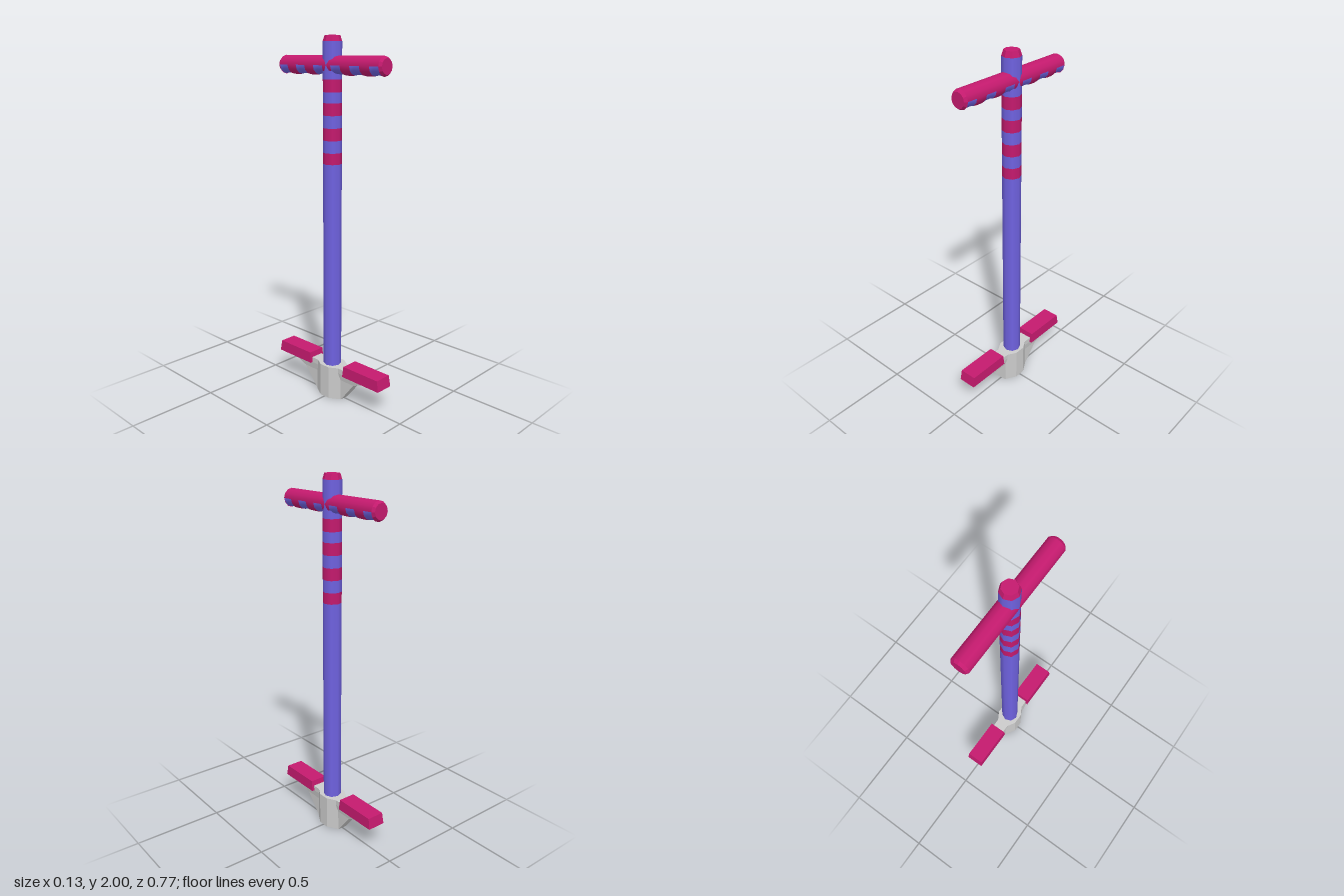
import * as THREE from 'three';

const mat = (color, flat = false) =>
  new THREE.MeshStandardMaterial({ color, flatShading: flat, side: THREE.DoubleSide });
const PINK = 0xc41a6e, BLUE = 0x6f62e0, GREY = 0xcccccc;

function add(parent, name, geo, material) {
  const m = new THREE.Mesh(geo, material);
  m.name = name;
  parent.add(m);
  return m;
}

// Turned piece from [radius, height] pairs
const turned = (pts, sides, start = 0, length = Math.PI * 2) =>
  new THREE.LatheGeometry(pts.map(([r, y]) => new THREE.Vector2(r, y)), sides, start, length);

// Skin over rings of [x, y, z] points, counter-clockwise from above, closed at both ends
function loft(rings) {
  const pos = [], n = rings[0].length;
  const tri = (a, b, c) => pos.push(...a, ...b, ...c);
  for (let r = 0; r < rings.length - 1; r++) {
    for (let i = 0; i < n; i++) {
      const j = (i + 1) % n, a = rings[r], b = rings[r + 1];
      tri(a[i], a[j], b[j]);
      tri(a[i], b[j], b[i]);
    }
  }
  const first = rings[0], last = rings[rings.length - 1];
  for (let i = 1; i < n - 1; i++) {
    tri(first[0], first[i + 1], first[i]);
    tri(last[0], last[i], last[i + 1]);
  }
  const g = new THREE.BufferGeometry();
  g.setAttribute('position', new THREE.Float32BufferAttribute(pos, 3));
  g.computeVertexNormals();
  return g;
}

// Horizontal rectangle ring
const rect = (w, y, z0, z1) => [[w, y, z1], [w, y, z0], [-w, y, z0], [-w, y, z1]];

export function createModel() {
  const root = new THREE.Group();
  const pink = mat(PINK), blue = mat(BLUE), pinkFlat = mat(PINK, true), grey = mat(GREY, true);

  // Pole with four painted stripes
  const pole = new THREE.Group();
  pole.name = 'pole';
  root.add(pole);
  const levels = [0.18, 1.34, 1.4, 1.465, 1.53, 1.595, 1.66, 1.715, 1.78, 1.97];
  for (let i = 0; i < levels.length - 1; i++) {
    add(pole, i % 2 ? 'stripe' : 'poleSection',
      turned([[0.05, levels[i]], [0.05, levels[i + 1]]], 8), i % 2 ? pink : blue);
  }
  add(pole, 'poleCap', turned([[0.05, 1.97], [0.04, 2], [0, 2]], 8), pinkFlat);

  // Handlebar: plain upper half, scalloped finger grips underneath
  const bar = new THREE.Group();
  bar.name = 'handlebar';
  bar.position.y = 1.85;
  bar.rotation.x = Math.PI / 2;
  root.add(bar);
  add(bar, 'upperGrip', turned([[0.05, -0.35], [0.05, 0.35]], 6, Math.PI / 2, Math.PI), pink);
  const bands = [0, 0.03, 0.095, 0.16, 0.225, 0.29, 0.35];
  for (const s of [-1, 1]) {
    for (let i = 0; i < bands.length - 1; i++) {
      const a = bands[i], b = bands[i + 1], dip = i % 2 ? 0.044 : 0.05;
      const pts = [[0.048, a], [dip, a + (b - a) * 0.3], [dip, b - (b - a) * 0.3], [0.048, b]]
        .map(([r, y]) => [r, y * s]);
      if (s < 0) pts.reverse();
      add(bar, 'fingerGrip', turned(pts, 6, -Math.PI / 2, Math.PI), i % 2 ? blue : pink);
    }
    const end = [[0.05, 0.35 * s], [0.04, 0.365 * s], [0, 0.365 * s]];
    add(bar, 'handlebarEnd', turned(s > 0 ? end : end.reverse(), 12), pinkFlat);
  }

  // Foot: eight-sided block around the bottom of the pole
  const octagon = (y) => [[0.065, 0.032], [0.065, -0.032], [0.03, -0.092], [-0.03, -0.092],
    [-0.065, -0.032], [-0.065, 0.032], [-0.03, 0.092], [0.03, 0.092]].map(([x, z]) => [x, y, z]);
  add(root, 'footBlock', loft([octagon(0), octagon(0.19)]), grey);

  // Side brackets and hollow footrests, front and back
  const bracket = loft([
    rect(0.027, 0, 0.05, 0.095),
    rect(0.03, 0.12, 0.05, 0.19),
    rect(0.037, 0.16, 0.05, 0.28),
    rect(0.037, 0.19, 0.05, 0.29),
  ]);
  const footrest = loft([
    rect(0.04, 0.195, 0.14, 0.37),
    rect(0.042, 0.16, 0.137, 0.375),
    rect(0.052, 0.16, 0.125, 0.387),
    rect(0.049, 0.222, 0.132, 0.377),
  ]);
  for (const turn of [0, Math.PI]) {
    const side = new THREE.Group();
    side.name = turn ? 'backStep' : 'frontStep';
    side.rotation.y = turn;
    add(side, 'bracket', bracket, grey);
    add(side, 'footrest', footrest, pinkFlat);
    root.add(side);
  }
  return root;
}
